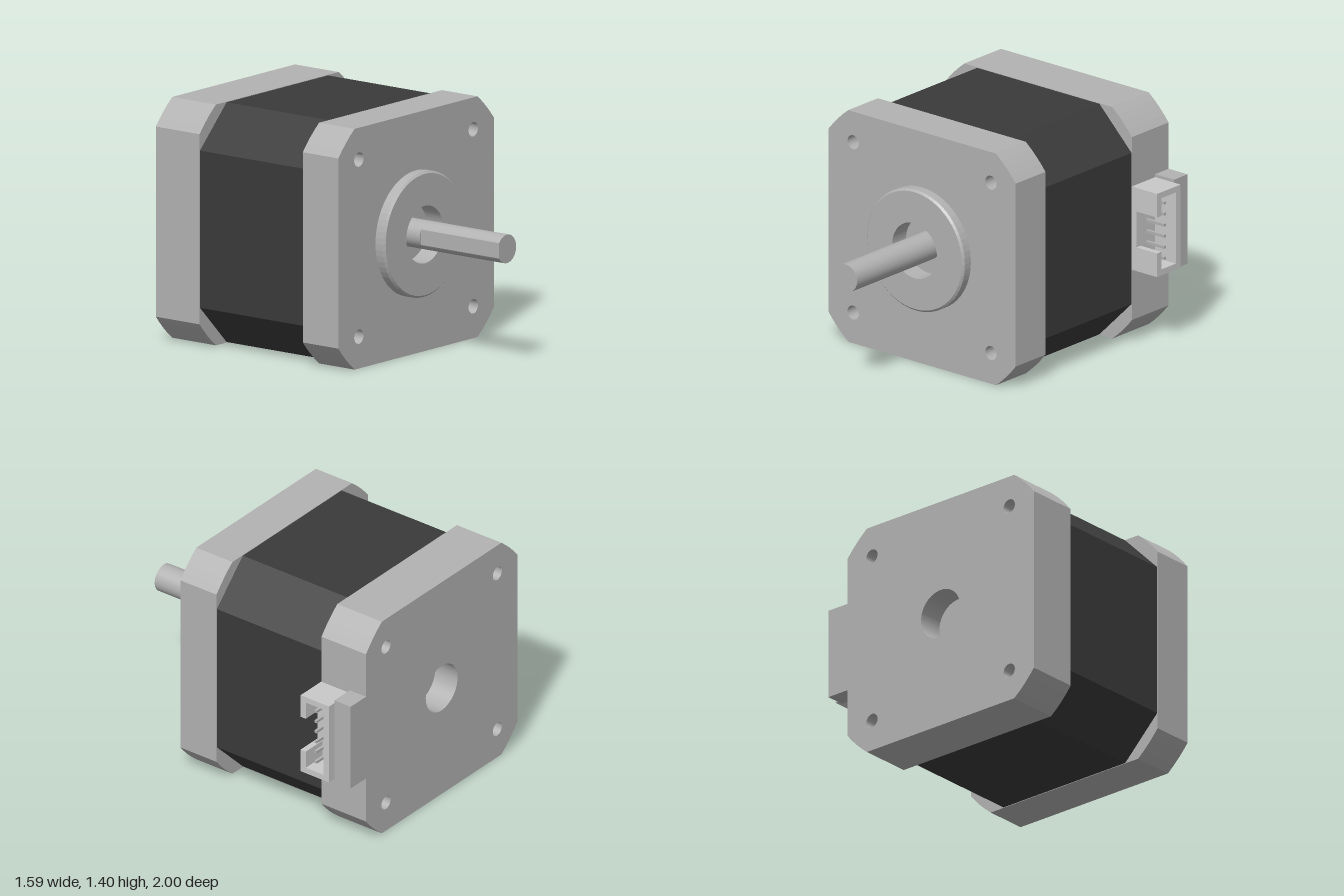
import * as THREE from 'three';

const CX = -0.095, CY = 0.705;   // motor axis
const HALF = 0.7;                // half width of the end caps

export function createModel() {
  const metal = new THREE.MeshStandardMaterial({ color: 0xb2b2b2 });
  metal.name = 'grey metal';
  const black = new THREE.MeshStandardMaterial({ color: 0x3a3a3a });
  black.name = 'black laminations';
  const plastic = new THREE.MeshStandardMaterial({ color: 0xc9c9c9 });
  plastic.name = 'pale plastic';

  const model = new THREE.Group();
  model.name = 'stepperMotor';
  const motor = new THREE.Group();
  motor.name = 'motor';
  motor.position.set(CX, CY, 0);
  model.add(motor);

  const add = (parent, name, geometry, material) => {
    const mesh = new THREE.Mesh(geometry, material);
    mesh.name = name;
    parent.add(mesh);
    return mesh;
  };
  // Extrude a shape between two depths along z
  const slab = (shape, z0, z1) =>
    new THREE.ExtrudeGeometry(shape, { depth: z1 - z0, bevelEnabled: false, curveSegments: 32 }).translate(0, 0, z0);
  const box = (x0, x1, y0, y1, z0, z1) =>
    new THREE.BoxGeometry(x1 - x0, y1 - y0, z1 - z0).translate((x0 + x1) / 2, (y0 + y1) / 2, (z0 + z1) / 2);
  const circle = (x, y, r, Type = THREE.Path) => new Type().absarc(x, y, r, 0, Math.PI * 2, false);

  // Square outline whose corners follow a circle (steps > 1) or a straight cut
  const outline = (half, flat, steps) => {
    const r = Math.hypot(half, flat);
    const start = Math.atan2(flat, half), end = Math.atan2(half, flat);
    const points = [];
    for (let q = 0; q < 4; q++) {
      for (let i = 0; i <= steps; i++) {
        const a = q * Math.PI / 2 + start + (end - start) * i / steps;
        points.push(new THREE.Vector2(r * Math.cos(a), r * Math.sin(a)));
      }
    }
    return new THREE.Shape(points);
  };
  const drilled = (centreRadius) => {
    const shape = outline(HALF, 0.553, 4);
    for (const x of [-0.515, 0.515])
      for (const y of [-0.515, 0.515]) shape.holes.push(circle(x, y, 0.042));
    shape.holes.push(circle(0, 0, centreRadius));
    return shape;
  };

  // Front cap: drilled face over a solid layer
  add(motor, 'frontCapFace', slab(drilled(0.167), 0.2, 0.335), metal);
  add(motor, 'frontCapBase', slab(outline(HALF, 0.553, 4), 0.075, 0.2), metal);

  // Laminated body with straight corner cuts
  add(motor, 'body', slab(outline(0.697, 0.457, 1), -0.68, 0.075), black);

  // Back cap
  add(motor, 'backCapBase', slab(outline(HALF, 0.553, 4), -0.84, -0.68), metal);
  add(motor, 'backCapFace', slab(drilled(0.147), -1, -0.84), metal);

  // Pilot ring with chamfered rim
  const ringProfile = [[0.365, 0.335], [0.365, 0.388], [0.353, 0.4], [0.167, 0.4], [0.167, 0.335]]
    .map(([r, z]) => new THREE.Vector2(r, z));
  const ring = new THREE.LatheGeometry(ringProfile, 64).rotateX(Math.PI / 2).toNonIndexed();
  ring.computeVertexNormals();
  add(motor, 'pilotRing', ring, metal);
  add(motor, 'bearingFace', slab(circle(0, 0, 0.167, THREE.Shape), 0.2, 0.28), metal);

  // Shaft: round root, then a flat along its -x side
  add(motor, 'shaftRoot', slab(circle(0, 0, 0.083, THREE.Shape), 0.28, 0.43), metal);
  const flatAngle = Math.acos(-0.07 / 0.083);
  const dShape = new THREE.Shape().absarc(0, 0, 0.083, -flatAngle, flatAngle, false);
  add(motor, 'shaft', slab(dShape, 0.43, 1), metal);

  // Tab behind the connector
  add(model, 'connectorTab', box(0.6, 0.747, 0.437, 0.978, -1, -0.883), metal);

  // Connector: open shell with a slot in its front wall
  const connector = new THREE.Group();
  connector.name = 'connector';
  model.add(connector);
  const X0 = 0.64, X1 = 0.795;
  add(connector, 'connectorFloor', box(0.6, X0, 0.457, 0.96, -0.883, -0.678), plastic);
  add(connector, 'connectorBackWall', box(X0, X1, 0.457, 0.96, -0.883, -0.842), plastic);
  add(connector, 'connectorLowerWall', box(X0, X1, 0.457, 0.493, -0.842, -0.678), plastic);
  add(connector, 'connectorUpperWall', box(X0, X1, 0.924, 0.96, -0.842, -0.678), plastic);
  add(connector, 'connectorFrontWallLow', box(X0, X1, 0.493, 0.6, -0.715, -0.678), plastic);
  add(connector, 'connectorFrontWallHigh', box(X0, X1, 0.817, 0.924, -0.715, -0.678), plastic);
  for (let i = 0; i < 6; i++) {
    const y = 0.541 + i * 0.0668;
    add(connector, 'pin', box(X0, 0.775, y - 0.008, y + 0.008, -0.778, -0.762), metal);
  }

  return model;
}
